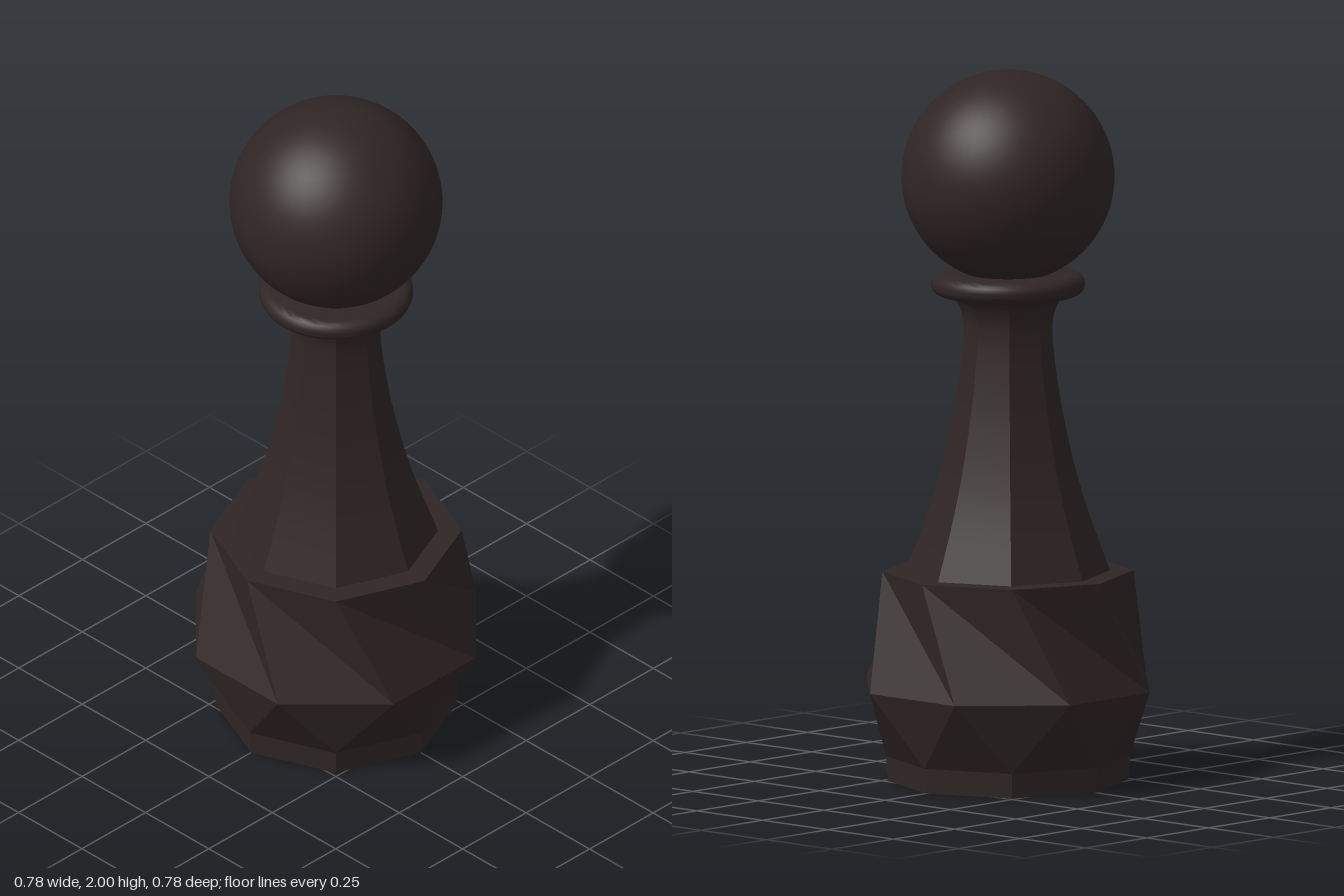
import * as THREE from 'three';
import { toCreasedNormals } from 'three/addons/utils/BufferGeometryUtils.js';

const SIDES = 8;

// One octagonal ring; a half step turns it by half a side
function ring(radius, y, step = 0) {
  return Array.from({ length: SIDES }, (_, i) => {
    const a = ((i + step) / SIDES) * Math.PI * 2;
    return new THREE.Vector3(radius * Math.sin(a), y, radius * Math.cos(a));
  });
}

// Faceted foot: plinth, widening belt and twisted facets above it
function footGeometry() {
  const floor = ring(0.335, 0);
  const plinth = ring(0.34, 0.07);
  const belt = ring(0.422, 0.27, 0.5);
  const top = ring(0.35, 0.59);
  const low = new THREE.Vector3(0, 0, 0);
  const high = new THREE.Vector3(0, 0.59, 0);
  const points = [];
  for (let i = 0; i < SIDES; i++) {
    const j = (i + 1) % SIDES;
    points.push(low, floor[j], floor[i]);
    points.push(floor[i], floor[j], plinth[j], floor[i], plinth[j], plinth[i]);
    points.push(plinth[i], plinth[j], belt[i], plinth[j], belt[j], belt[i]);
    points.push(belt[i], belt[j], top[i], top[i], belt[j], top[j]);
    points.push(high, top[i], top[j]);
  }
  const geometry = new THREE.BufferGeometry().setFromPoints(points);
  geometry.computeVertexNormals();
  return geometry;
}

// Eight-sided stem: smooth along its height, sharp at the corners
function stemGeometry() {
  const profile = new THREE.SplineCurve([
    [0.288, 0.58], [0.21, 0.8], [0.16, 1.0], [0.132, 1.17],
    [0.124, 1.27], [0.13, 1.32], [0.148, 1.355], [0.18, 1.38],
  ].map(([r, y]) => new THREE.Vector2(r, y)));
  return toCreasedNormals(new THREE.LatheGeometry(profile.getPoints(42), SIDES), 0.5);
}

// Round collar with a half-round rim and flat faces
function collarGeometry() {
  const points = [new THREE.Vector2(0, 1.37)];
  for (let i = 0; i <= 12; i++) {
    const a = -Math.PI / 2 + (i / 12) * Math.PI;
    points.push(new THREE.Vector2(0.185 + 0.03 * Math.cos(a), 1.4 + 0.03 * Math.sin(a)));
  }
  points.push(new THREE.Vector2(0, 1.43));
  return toCreasedNormals(new THREE.LatheGeometry(points, 64), 0.6);
}

export function createModel() {
  const model = new THREE.Group();
  model.name = 'pawn';
  const wood = new THREE.MeshStandardMaterial({ color: 0x302525 });
  wood.name = 'dark wood';

  const add = (name, geometry) => {
    const mesh = new THREE.Mesh(geometry, wood);
    mesh.name = name;
    model.add(mesh);
    return mesh;
  };

  add('foot', footGeometry());
  add('stem', stemGeometry());
  add('collar', collarGeometry());
  add('head', new THREE.SphereGeometry(0.297, 64, 40)).position.y = 1.703;

  return model;
}
